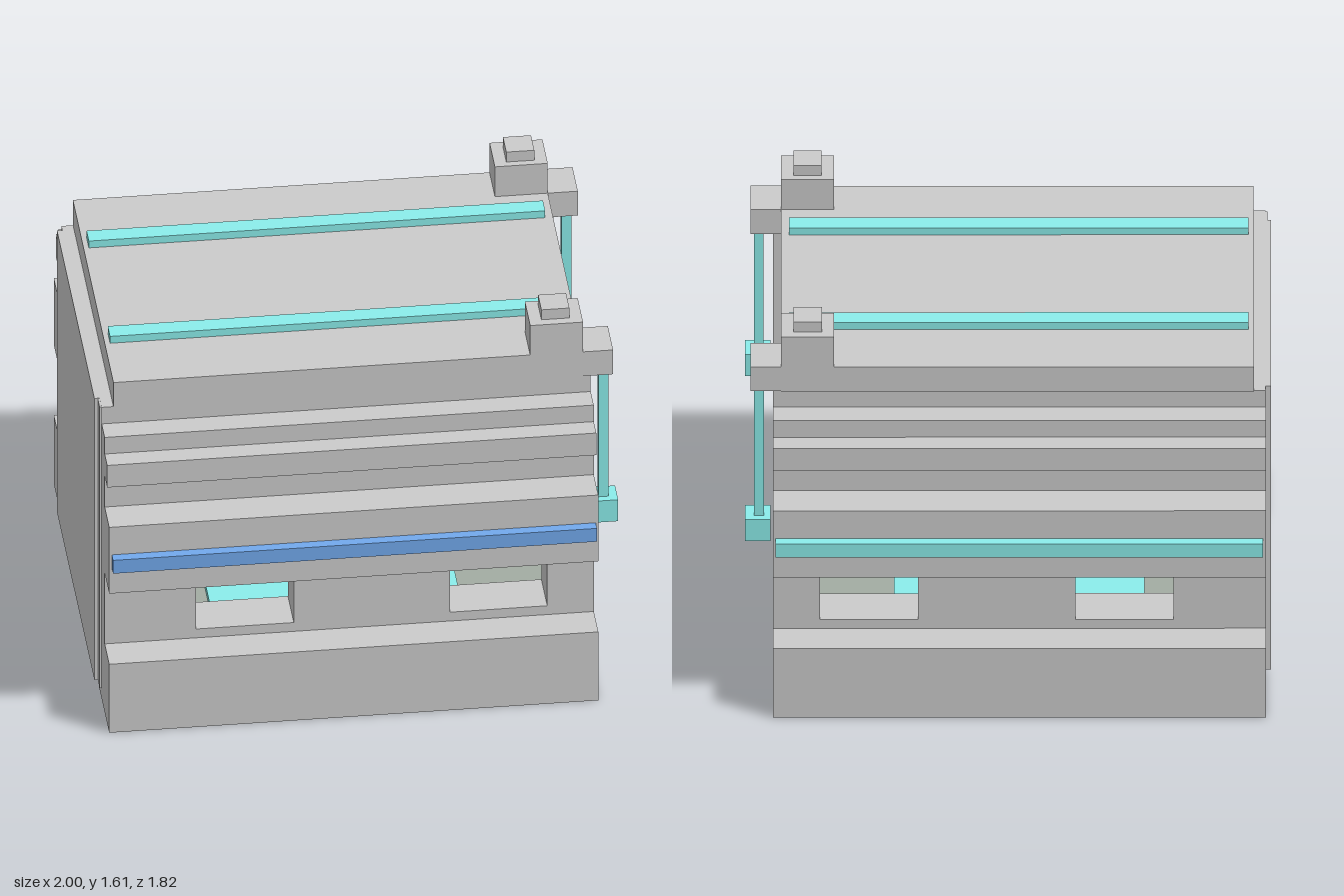
import * as THREE from 'three';

const grey = new THREE.MeshStandardMaterial({ color: 0xcccccc });
const floorGrey = new THREE.MeshStandardMaterial({ color: 0xa3aca3 });
const cyan = new THREE.MeshStandardMaterial({ color: 0x8bedeb });
const blue = new THREE.MeshStandardMaterial({ color: 0x72a9ec });

// Box given by its extents along each axis
function box(parent, name, [x0, x1], [y0, y1], [z0, z1], material = grey) {
  const mesh = new THREE.Mesh(new THREE.BoxGeometry(x1 - x0, y1 - y0, Math.abs(z1 - z0)), material);
  mesh.position.set((x0 + x1) / 2, (y0 + y1) / 2, (z0 + z1) / 2);
  mesh.name = name;
  parent.add(mesh);
}

function rect(PathType, [x0, x1], [y0, y1]) {
  return new PathType().moveTo(x0, y0).lineTo(x1, y0).lineTo(x1, y1).lineTo(x0, y1).closePath();
}

// Extrudes an outline drawn in z and y along x
function extrudeAlongX(points, [x0, x1]) {
  const shape = new THREE.Shape(points.map(([z, y]) => new THREE.Vector2(-z, y)));
  return new THREE.ExtrudeGeometry(shape, { depth: x1 - x0, bevelEnabled: false })
    .rotateY(Math.PI / 2).translate(x0, 0, 0);
}

export function createModel() {
  const model = new THREE.Group();
  const wallX = [-0.98, 0.89];
  const inner = 0.545;

  for (const side of [1, -1]) {
    const label = side > 0 ? 'front' : 'back';
    const wall = new THREE.Group();
    wall.name = label + 'Wall';
    model.add(wall);

    // Solid base course
    box(wall, 'baseCourse', wallX, [0, 0.31], [side * inner, side * 0.873]);

    // Window course with two openings
    const course = rect(THREE.Shape, wallX, [0.31, 0.63]);
    for (const span of [[-0.63, -0.257], [0.34, 0.712]]) {
      course.holes.push(rect(THREE.Path, span, [0.35, 0.585]));
    }
    const windows = new THREE.Mesh(
      new THREE.ExtrudeGeometry(course, { depth: 0.73 - inner, bevelEnabled: false }), grey);
    windows.position.z = side > 0 ? inner : -0.73;
    windows.name = 'windowCourse';
    wall.add(windows);

    // Stepped cornice above the windows
    const steps = [[0.63, 0.873], [0.93, 0.73], [1.07, 0.81], [1.17, 0.73], [1.245, 0.635]];
    const outline = [[side * inner, 0.63]];
    steps.forEach(([y, z], i) => {
      const top = i + 1 < steps.length ? steps[i + 1][0] : 1.32;
      outline.push([side * z, y], [side * z, top]);
    });
    outline.push([side * inner, 1.32]);
    const cornice = new THREE.Mesh(extrudeAlongX(outline, wallX), grey);
    cornice.name = 'cornice';
    wall.add(cornice);

    // Light strip along the wall
    box(wall, 'wallStrip', [-0.97, 0.88], [0.745, 0.805],
      [side * 0.873, side * 0.912], side > 0 ? blue : cyan);

    // Roof corner: bracket, post and cap
    const corner = new THREE.Group();
    corner.name = label + 'RoofCorner';
    model.add(corner);
    box(corner, 'bracket', [0.86, 0.975], [1.32, 1.43], [side * 0.472, side * 0.64]);
    box(corner, 'post', [0.658, 0.86], [1.43, 1.565], [side * 0.472, side * 0.64]);
    box(corner, 'cap', [0.705, 0.812], [1.565, 1.61], [side * 0.5, side * 0.605]);

    // Hanging lantern
    const z = side > 0 ? 0.578 : -0.588;
    box(corner, 'lanternRod', [0.925, 0.962], [0.74, 1.32], [z - 0.021, z + 0.021], cyan);
    box(corner, 'lantern', [0.9, 0.996], [0.645, 0.742], [z - 0.05, z + 0.05], cyan);

    // Light strip on the roof
    const stripZ = side > 0 ? 0.328 : -0.34;
    box(model, label + 'RoofStrip', [-0.915, 0.83], [1.43, 1.461], [stripZ - 0.036, stripZ + 0.036], cyan);
  }

  box(model, 'roof', [-0.935, 0.86], [1.32, 1.43], [-0.642, 0.637]);

  // Closed left end
  box(model, 'endWall', [-1, -0.83], [0.045, 1.32], [-0.605, 0.57]);
  box(model, 'endWallTrim', [-0.987, -0.9], [0.045, 1.318], [0.57, 0.63]);

  // Interior
  box(model, 'floor', [-0.97, 0.88], [0.01, 0.12], [-inner, inner], floorGrey);
  box(model, 'upperFloor', [-0.83, 0.68], [0.79, 0.85], [-inner, inner], floorGrey);
  box(model, 'floorPanel', [-0.52, 0.43], [0.12, 0.147], [-0.387, 0.405], cyan);

  return model;
}
